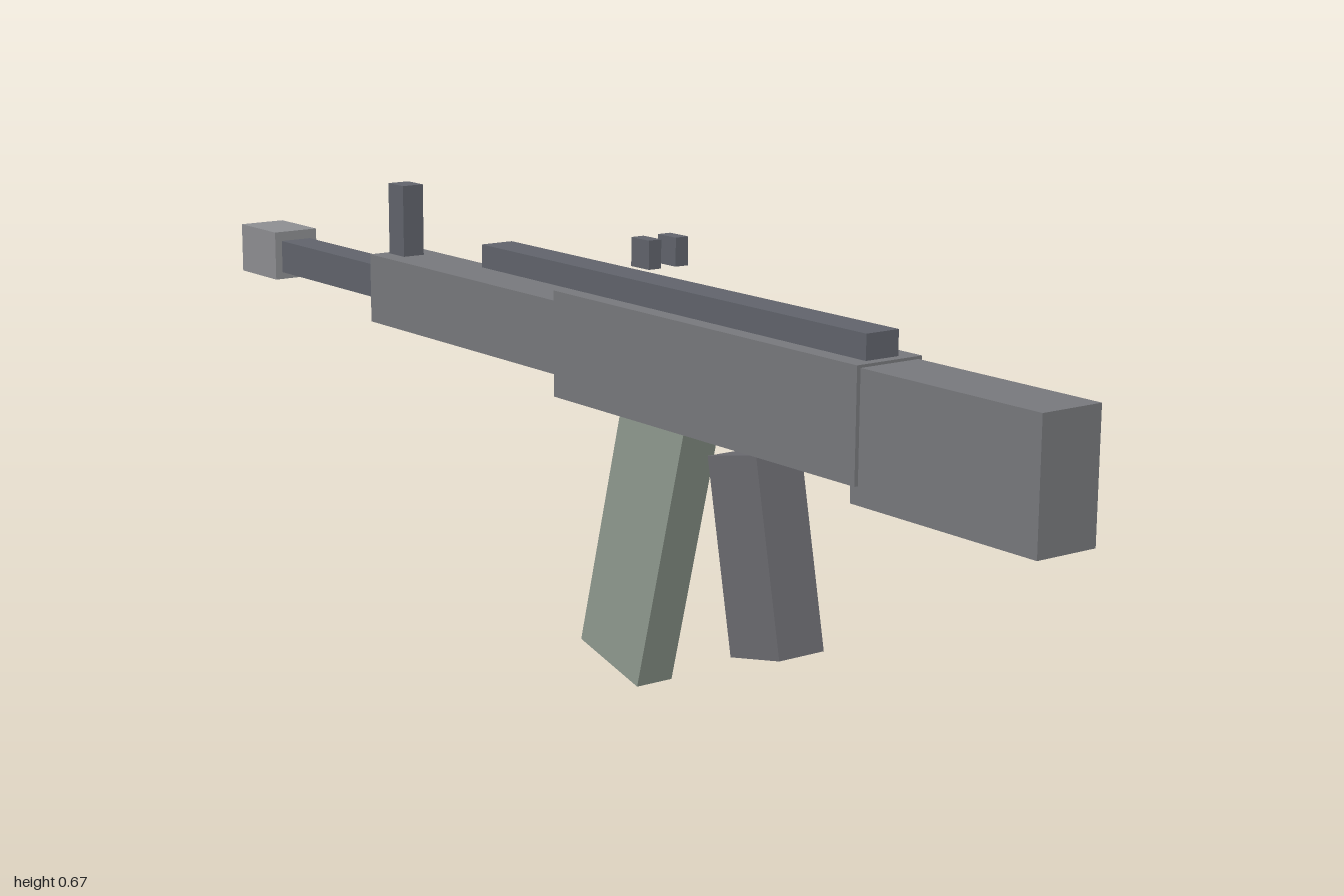
import * as THREE from 'three';

const mat = (color) => new THREE.MeshStandardMaterial({ color });

export function createModel() {
  const group = new THREE.Group();
  const steel = mat(0x77787c);
  const darkSteel = mat(0x60636b);
  const lightSteel = mat(0x8d8e91);
  const gripGrey = mat(0x6a6a6f);
  const green = mat(0x8f998f);

  // Box given by its half width, y range and z range
  const block = (name, material, halfX, y0, y1, z0, z1, x = 0) => {
    const mesh = new THREE.Mesh(new THREE.BoxGeometry(2 * halfX, y1 - y0, z1 - z0), material);
    mesh.position.set(x, (y0 + y1) / 2, (z0 + z1) / 2);
    mesh.name = name;
    group.add(mesh);
    return mesh;
  };

  // Box given by its centre and size, tilted around x
  const tilted = (name, material, halfX, y, z, height, depth, angle) => {
    const mesh = block(name, material, halfX, y - height / 2, y + height / 2, z - depth / 2, z + depth / 2);
    mesh.rotation.x = angle;
  };

  // Main body, rear to muzzle
  block('stock', steel, 0.05, 0.386, 0.569, 0.657, 1);
  block('receiver', steel, 0.056, 0.412, 0.573, -0.01, 0.672);
  block('handguard', steel, 0.05, 0.444, 0.556, -0.545, -0.01);
  block('barrel', darkSteel, 0.028, 0.478, 0.533, -0.88, -0.545);
  block('muzzle', lightSteel, 0.041, 0.466, 0.549, -1, -0.88);
  block('topCover', darkSteel, 0.028, 0.573, 0.609, -0.245, 0.657);

  // Sights
  block('frontSight', darkSteel, 0.019, 0.556, 0.672, -0.535, -0.49);
  for (const side of [-1, 1]) {
    block(side > 0 ? 'rearSightLeft' : 'rearSightRight', darkSteel, 0.011, 0.63, 0.672, 0.155, 0.197, side * 0.024);
  }

  // Grip leans back, magazine leans forward
  tilted('grip', gripGrey, 0.04, 0.258, 0.425, 0.286, 0.109, -0.2);
  tilted('magazine', green, 0.032, 0.222, 0.152, 0.42, 0.148, 0.26);

  return group;
}
